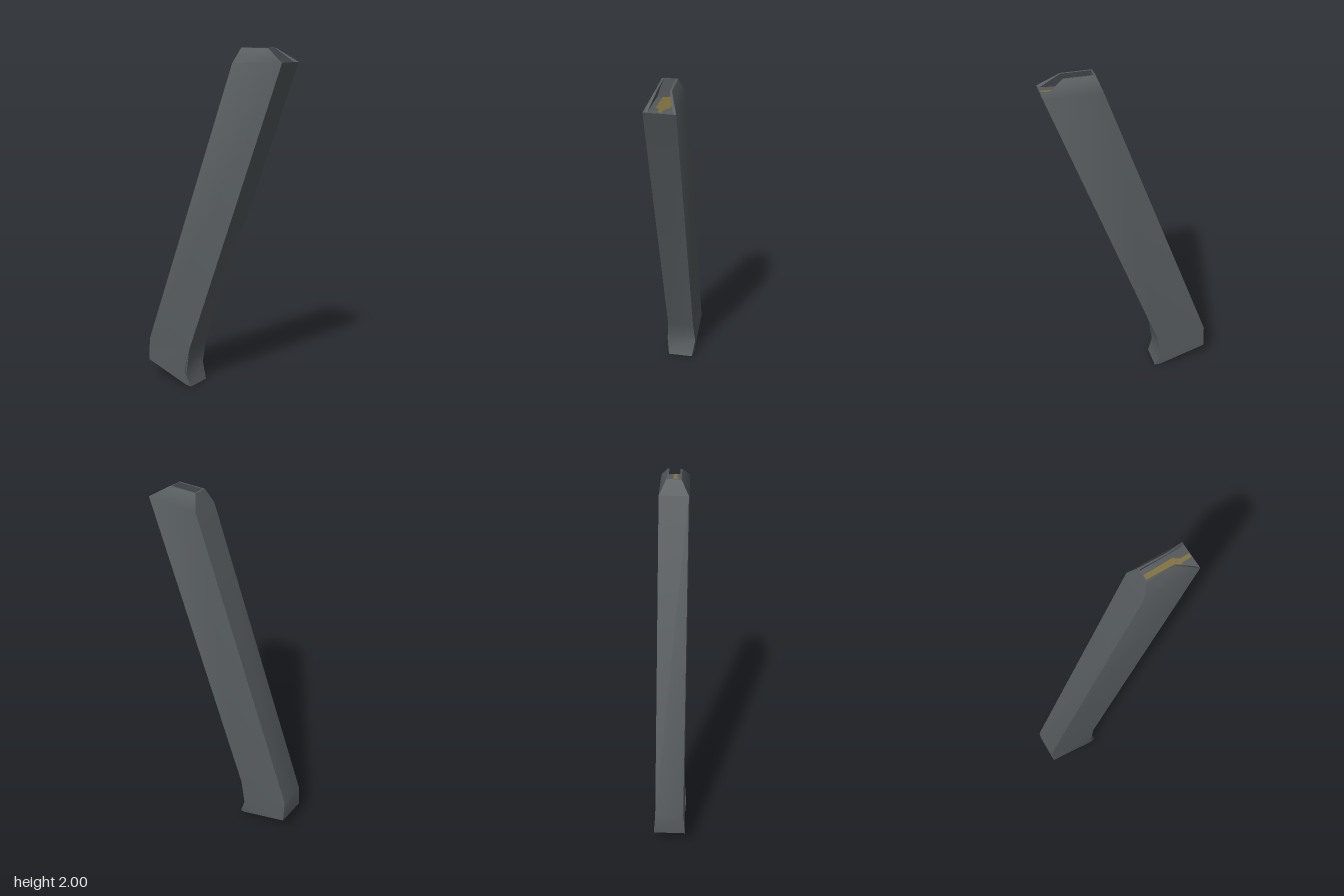
import * as THREE from 'three';
import { toCreasedNormals } from 'three/addons/utils/BufferGeometryUtils.js';

const mirror = ([x, y, z]) => [-x, y, z];

// Collects flat polygons; every helper keeps the model symmetric in x.
class Faces {
  constructor() { this.pos = []; }
  polygon(pts) {
    for (let i = 1; i < pts.length - 1; i++) this.pos.push(...pts[0], ...pts[i], ...pts[i + 1]);
  }
  // a face on the left and its reversed copy on the right
  pair(...pts) {
    this.polygon(pts);
    this.polygon(pts.map(mirror).reverse());
  }
  // a band across the middle along a path of left-hand points
  band(...path) {
    for (let i = 0; i < path.length - 1; i++) {
      const a = path[i], b = path[i + 1];
      this.polygon([mirror(a), a, b, mirror(b)]);
    }
  }
  mesh(name, material) {
    const g = new THREE.BufferGeometry();
    g.setAttribute('position', new THREE.Float32BufferAttribute(this.pos, 3));
    const m = new THREE.Mesh(toCreasedNormals(g, 0.7), material);
    m.name = name;
    return m;
  }
}

export function createModel() {
  const steel = new THREE.MeshStandardMaterial({ color: 0x565b5e });
  steel.name = 'darkSteel';
  const brass = new THREE.MeshStandardMaterial({ color: 0x80703c });
  brass.name = 'brass';

  // left-hand corners, from the foot up
  const toe = [0.075, 0, -0.145], toeSide = [0.085, 0.012, -0.18], heel = [0.09, 0.105, -0.46];
  const footFront = [0.09, 0.1, -0.18];
  const bendFront = [0.08, 0.24, -0.15], bendBack = [0.08, 0.24, -0.46];
  const shoulderFront = [0.08, 1.93, 0.465], shoulderBack = [0.08, 1.92, 0.155];
  const lipFront = [0.04, 2, 0.35], lipBack = [0.04, 2, 0.185];
  const innerFront = [0.03, 2, 0.35], innerBack = [0.03, 2, 0.193];
  const mouth = [0.06, 1.9285, 0.45], deckBack = [0.065, 1.9, 0.19];

  // leaning tube with flared foot
  const body = new Faces();
  body.band(toe, footFront, bendFront, shoulderFront);
  body.band(lipBack, shoulderBack, bendBack, heel, toeSide, toe);
  body.pair(toe, toeSide, footFront);
  body.pair(footFront, toeSide, heel, bendBack, bendFront);
  body.pair(bendFront, bendBack, shoulderBack, shoulderFront);
  // shoulders leaning in to the lips
  body.pair(shoulderFront, shoulderBack, lipBack, lipFront);

  // lip edges and inside of the mouth
  const lips = new Faces();
  lips.pair(lipFront, lipBack, innerBack, innerFront);
  lips.pair(shoulderFront, lipFront, innerFront, mouth);
  lips.pair(mouth, innerFront, innerBack, deckBack);
  lips.band(shoulderFront, deckBack, innerBack, lipBack);

  // brass plate lying on the floor of the mouth
  const plate = new Faces();
  const onDeck = (x, z) => [x, 1.9 + (z - 0.19) * 0.109 + 0.004, z];
  plate.band(onDeck(0.011, 0.46), onDeck(0.011, 0.41), onDeck(0.034, 0.38), onDeck(0.034, 0.192));

  const group = new THREE.Group();
  group.name = 'magazine';
  group.add(body.mesh('body', steel), lips.mesh('feedLips', steel), plate.mesh('follower', brass));
  return group;
}
